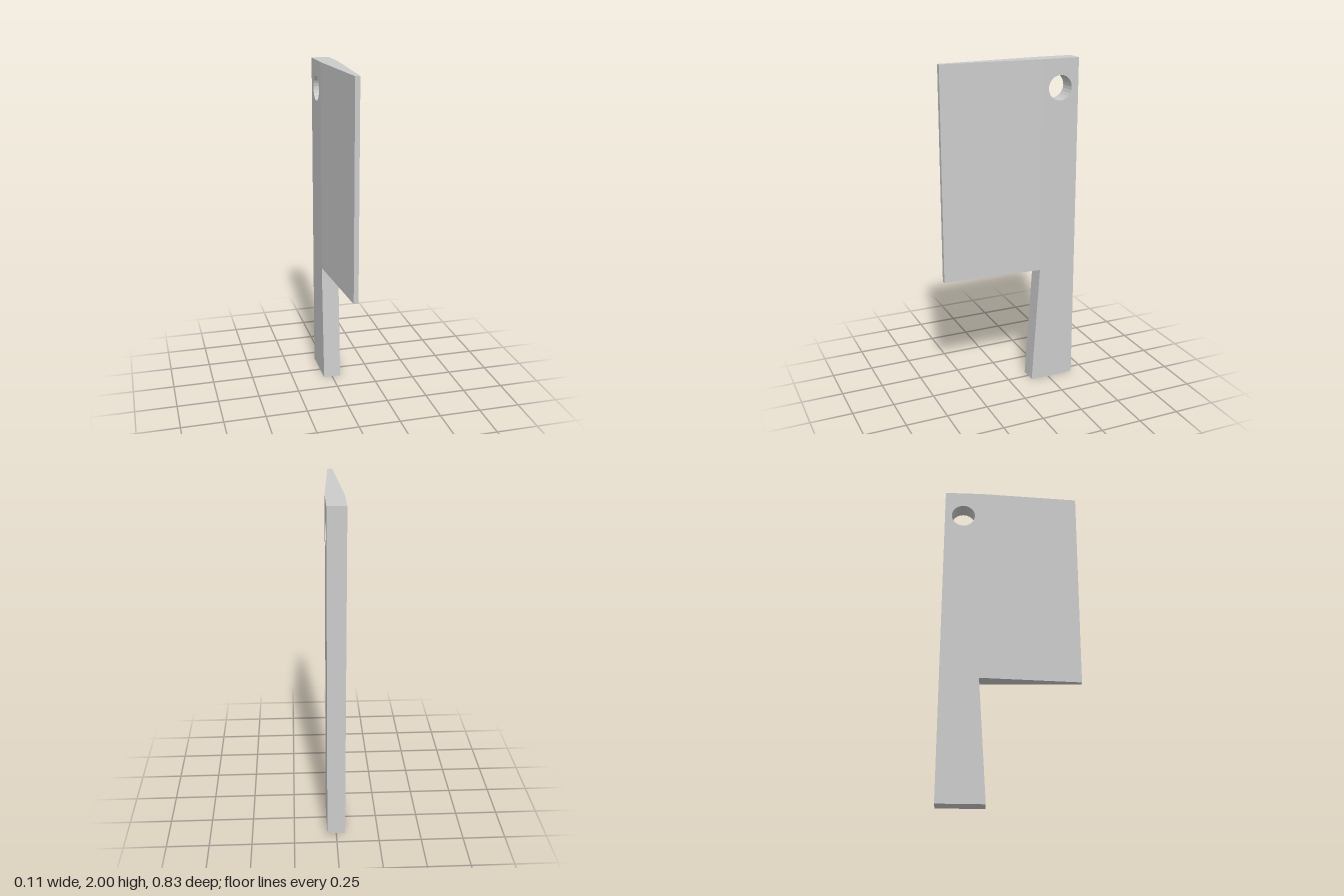
import * as THREE from 'three';

const HALF = 0.053;      // half thickness of the spine and handle
const EDGE = 0.014;      // half thickness of the blunt cutting edge
const BACK = -0.415, FRONT = 0.415, JOIN = -0.185;
const TOP = 2, HEEL = 0.735;

const outline = (points) => new THREE.Shape(points.map(([x, y]) => new THREE.Vector2(x, y)));

export function createModel() {
  const group = new THREE.Group();
  group.name = 'cleaver';
  const material = new THREE.MeshStandardMaterial({ color: 0xcccccc, flatShading: true });

  const add = (name, geometry) => {
    const mesh = new THREE.Mesh(geometry, material);
    mesh.name = name;
    group.add(mesh);
  };

  // Handle and spine: side outline in (z, y) with a hanging hole, flared at the foot
  const side = outline([[BACK, 0], [-0.137, 0], [JOIN, HEEL], [JOIN, TOP], [BACK, TOP]]);
  side.holes.push(new THREE.Path().absarc(-0.3, 1.833, 0.073, 0, Math.PI * 2, true));
  const spine = new THREE.ExtrudeGeometry(side, { depth: HALF * 2, bevelEnabled: false, curveSegments: 12 });
  spine.translate(0, 0, -HALF).rotateY(-Math.PI / 2);
  add('handleAndSpine', spine);

  // Blade: wedge section in (x, z), extruded along its height
  const wedge = outline([[-HALF, JOIN], [HALF, JOIN], [EDGE, FRONT], [-EDGE, FRONT]]);
  const blade = new THREE.ExtrudeGeometry(wedge, { depth: TOP - HEEL, bevelEnabled: false });
  blade.rotateX(Math.PI / 2).translate(0, TOP, 0);
  add('blade', blade);

  return group;
}
